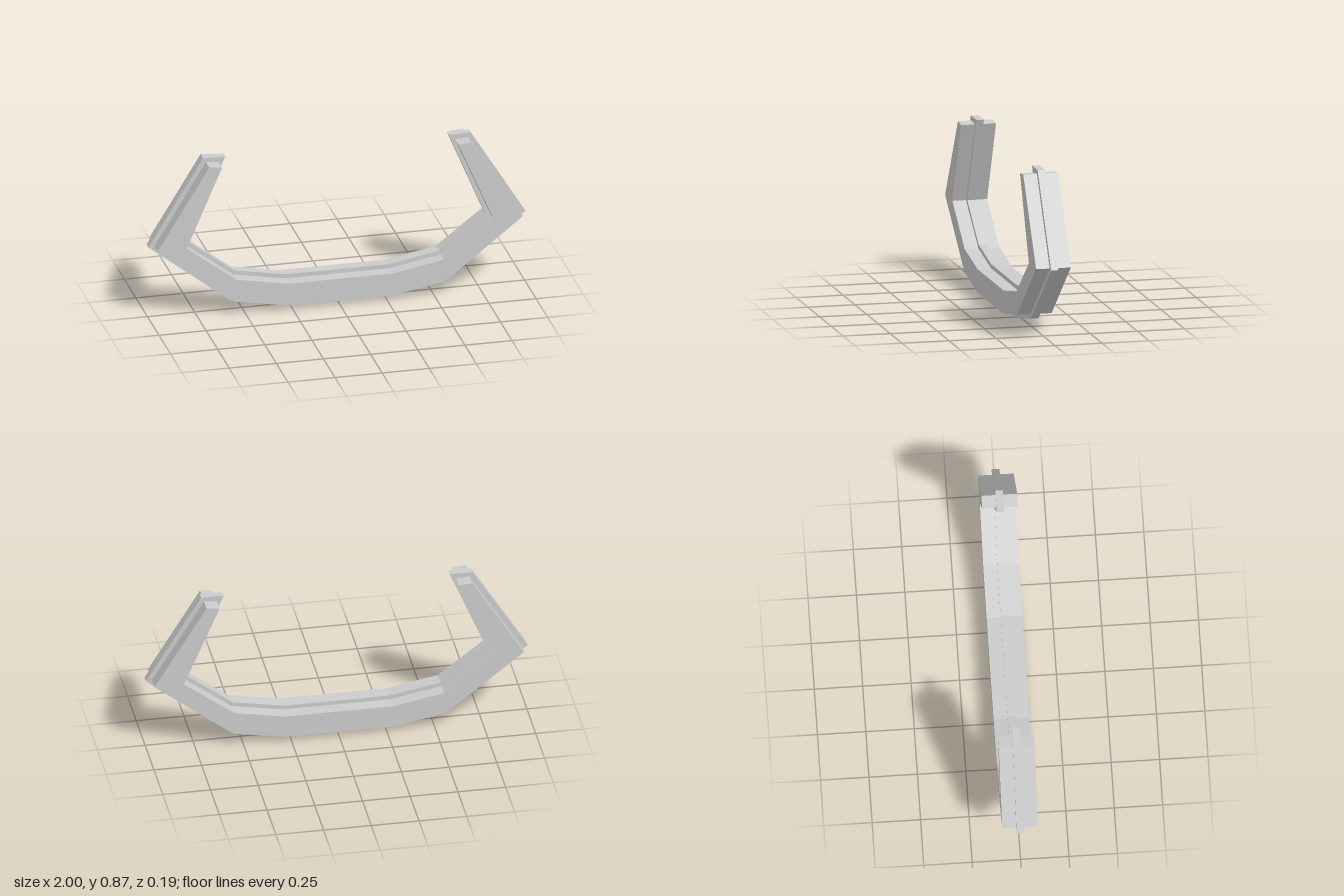
import * as THREE from 'three';

const material = new THREE.MeshStandardMaterial({ color: 0xcccccc, flatShading: true });

// Extrudes a left-half profile, mirrored across x = 0 and centred on z = 0.
function mirroredBar(name, half, depth) {
  const mirrored = half.map(([x, y]) => [-x, y]).reverse();
  const shape = new THREE.Shape([...half, ...mirrored].map(([x, y]) => new THREE.Vector2(x, y)));
  const geometry = new THREE.ExtrudeGeometry(shape, { depth, bevelEnabled: false });
  geometry.translate(0, 0, -depth / 2);
  const mesh = new THREE.Mesh(geometry, material);
  mesh.name = name;
  return mesh;
}

export function createModel() {
  const group = new THREE.Group();
  group.name = 'bracket';

  // Thick body: bottom edge, outer corner, tip, then back along the inside
  group.add(mirroredBar('body', [
    [0.275, 0.026], [0.557, 0.077], [0.968, 0.4], [0.695, 0.843],
    [0.626, 0.836], [0.814, 0.4], [0.55, 0.199], [0.28, 0.149],
  ], 0.185));

  // Thin central rib standing proud of the body all round
  group.add(mirroredBar('rib', [
    [0.28, 0], [0.565, 0.054], [1, 0.396], [0.71, 0.866],
    [0.592, 0.866], [0.785, 0.405], [0.545, 0.221], [0.275, 0.171],
  ], 0.04));

  return group;
}
